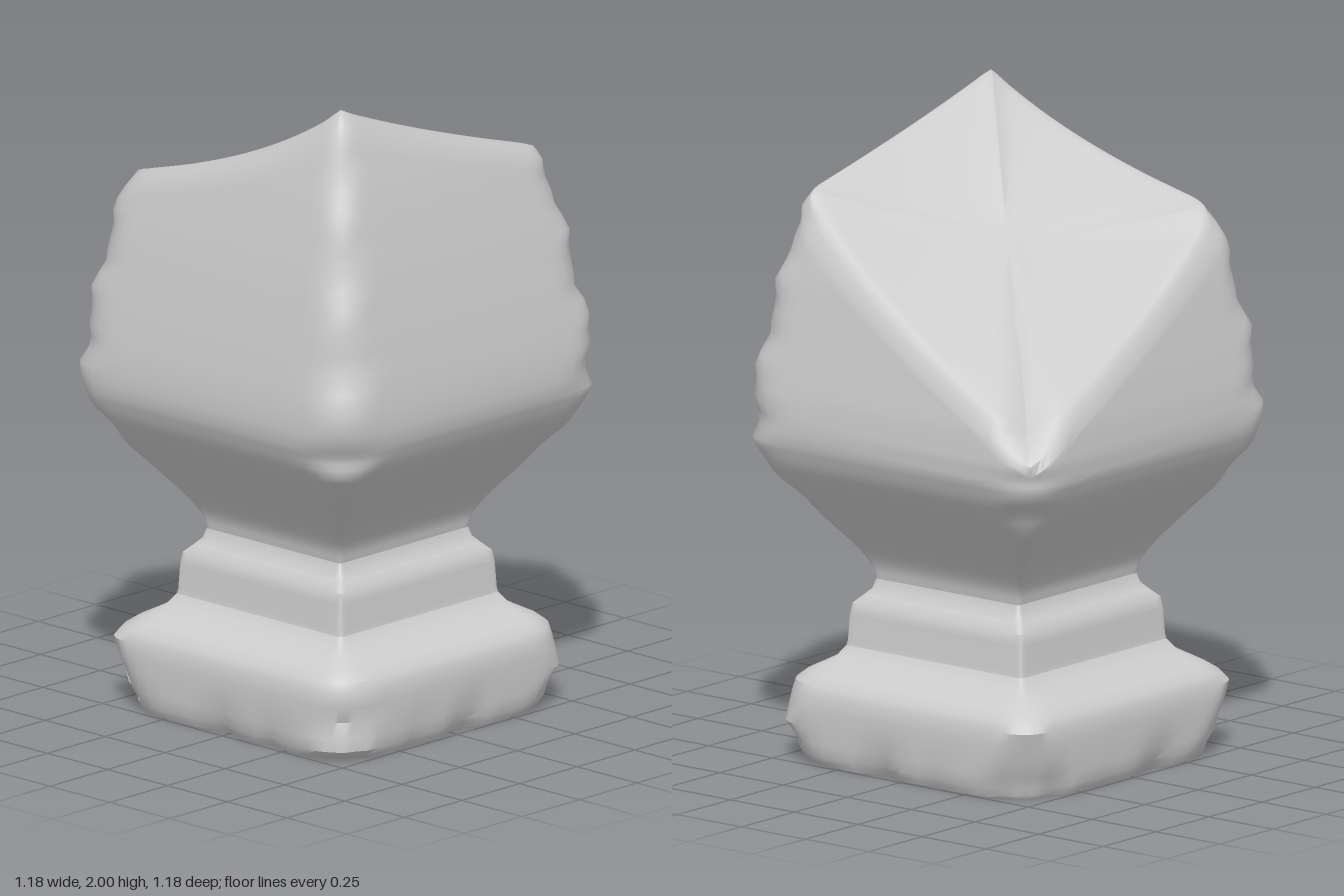
import * as THREE from 'three';
import { toCreasedNormals } from 'three/addons/utils/BufferGeometryUtils.js';

const SIDE = 24; // samples along each side of the square section

// Square section, sampled more densely toward the corners.
// Each sample is [m along side, side index]
const samples = [];
for (let s = 0; s < 4; s++) {
  for (let i = 0; i < SIDE; i++) samples.push([Math.sin((i / SIDE * 2 - 1) * Math.PI / 2), s]);
}
const turn = (a, b, s) => [[a, b], [-b, a], [-a, -b], [b, -a]][s];

// Linear lookup in rows of [y, half width, corner radius]
function lookup(rows, y) {
  let i = 0;
  while (i < rows.length - 2 && y > rows[i + 1][0]) i++;
  const [a, b] = [rows[i], rows[i + 1]];
  const t = THREE.MathUtils.clamp((y - a[0]) / (b[0] - a[0]), 0, 1);
  return [a[1] + (b[1] - a[1]) * t, a[2] + (b[2] - a[2]) * t];
}

// One point of a worn square section; k shrinks it toward the axis
function point([m, s], y, w, r, k = 1) {
  const corner = (s + (m > 0 ? 1 : 0)) % 4;
  const wear = Math.sin(y * 23 + corner * 2.1) + 0.6 * Math.sin(y * 51 + corner * 4.3);
  const q = Math.min(0.9, r * (1 + (r > 0.05 ? 0.2 * wear : 0)) / w);
  let a = 1, b = m;
  const over = Math.abs(m) - (1 - q);
  if (over > 0) {
    const ang = over / q * Math.PI / 4;
    a = 1 - q + q * Math.cos(ang);
    b = Math.sign(m) * (1 - q + q * Math.sin(ang));
  }
  // ragged chips along the foot
  if (y < 0.13) {
    const chip = Math.sin(m * 9 + s * 2.3) * Math.sin(m * 4.1 + s * 1.7 + 0.6);
    a -= Math.max(0, chip) * 0.07 * (1 - y / 0.13);
  }
  const [x, z] = turn(a, b, s);
  return [x * w * k, y, z * w * k];
}

// Skin a list of rings, each a function from sample to position
function loft(name, rings, crease) {
  const n = samples.length, pos = [], index = [];
  rings.forEach(f => samples.forEach(p => pos.push(...f(p))));
  for (let i = 0; i < rings.length - 1; i++) {
    for (let j = 0; j < n; j++) {
      const a = i * n + j, b = i * n + (j + 1) % n;
      index.push(a, a + n, b, b, a + n, b + n);
    }
  }
  const geo = new THREE.BufferGeometry();
  geo.setAttribute('position', new THREE.Float32BufferAttribute(pos, 3));
  geo.setIndex(index);
  const mesh = new THREE.Mesh(toCreasedNormals(geo, crease),
    new THREE.MeshStandardMaterial({ color: 0xcccccc }));
  mesh.name = name;
  return mesh;
}

const ringsFrom = rows => rows.map(([y, w, r]) => p => point(p, y, w, r));
const smooth = (rows, n) => new THREE.CatmullRomCurve3(rows.map(r => new THREE.Vector3(...r)))
  .getPoints(n).map(v => v.toArray());

// Upper block taper
const taper = [[1.0, 0.583, 0.16], [1.06, 0.588, 0.16], [1.15, 0.58, 0.15], [1.3, 0.553, 0.13],
  [1.5, 0.513, 0.11], [1.73, 0.455, 0.09], [2.0, 0.372, 0.06]];

// Height of the slanted break over the unit square
const breakHeight = (u, v) => 0.25 * (
  (1 - u) * (1 + v) * 2.02 + (1 + u) * (1 + v) * 1.76 +
  (1 - u) * (1 - v) * 1.69 + (1 + u) * (1 - v) * 1.09)
  - 0.035 * (1 - v * v) * (1 - u) / 2;

export function createModel() {
  const group = new THREE.Group();
  group.name = 'brokenFinial';

  // Square plinth with chipped foot and sloping ledge
  const foot = [[0.01, 0.49, 0.2], [0.03, 0.5, 0.2], [0.07, 0.503, 0.18], [0.12, 0.505, 0.16],
    [0.17, 0.505, 0.14], [0.215, 0.502, 0.13], [0.245, 0.488, 0.12], [0.27, 0.455, 0.09],
    [0.295, 0.405, 0.05], [0.315, 0.368, 0.02], [0.345, 0.345, 0.01]];
  const underside = [0, 0.5].map(k => p => point(p, 0, 0.485, 0.22, k));
  group.add(loft('plinth', [...underside, p => point(p, 0, 0.485, 0.22), ...ringsFrom(foot)], 0.6));

  // Sharp-cornered collar
  const collar = [[0.345, 0.345, 0.01], [0.36, 0.342, 0.01], [0.44, 0.338, 0.01], [0.475, 0.332, 0.01],
    [0.5, 0.308, 0.01], [0.52, 0.29, 0.01], [0.55, 0.281, 0.01]];
  group.add(loft('collar', ringsFrom(collar), 0.6));

  // Flared neck swelling into the block
  const flare = smooth([[0.55, 0.281, 0.01], [0.59, 0.29, 0.01], [0.65, 0.325, 0.015], [0.75, 0.407, 0.04],
    [0.85, 0.494, 0.09], [0.93, 0.552, 0.13], [1.0, 0.583, 0.16]], 20);

  // Block walls stretched from the shoulder up to the break
  const wall = (t, drop, k) => p => {
    const [u, v] = turn(1, p[0], p[1]);
    const top = breakHeight(u * k, v * k);
    const y = 1.0 + (top - 1.0 - drop) * t;
    const [w, r] = lookup(taper, k < 1 ? breakHeight(u, v) : y);
    return point(p, y, w, r, k);
  };
  const walls = [];
  for (let i = 1; i <= 16; i++) walls.push(wall(i / 16, 0.06, 1));
  // Rounded rim, then the slanted break face closing to the centre
  const rim = [wall(1, 0.03, 0.993), wall(1, 0.012, 0.975), wall(1, 0.002, 0.945)];
  const face = [0.9, 0.8, 0.65, 0.5, 0.35, 0.2, 0.1, 0].map(k => wall(1, 0, k));
  group.add(loft('brokenBlock', [...ringsFrom(flare), ...walls, ...rim, ...face], 0.7));

  return group;
}
